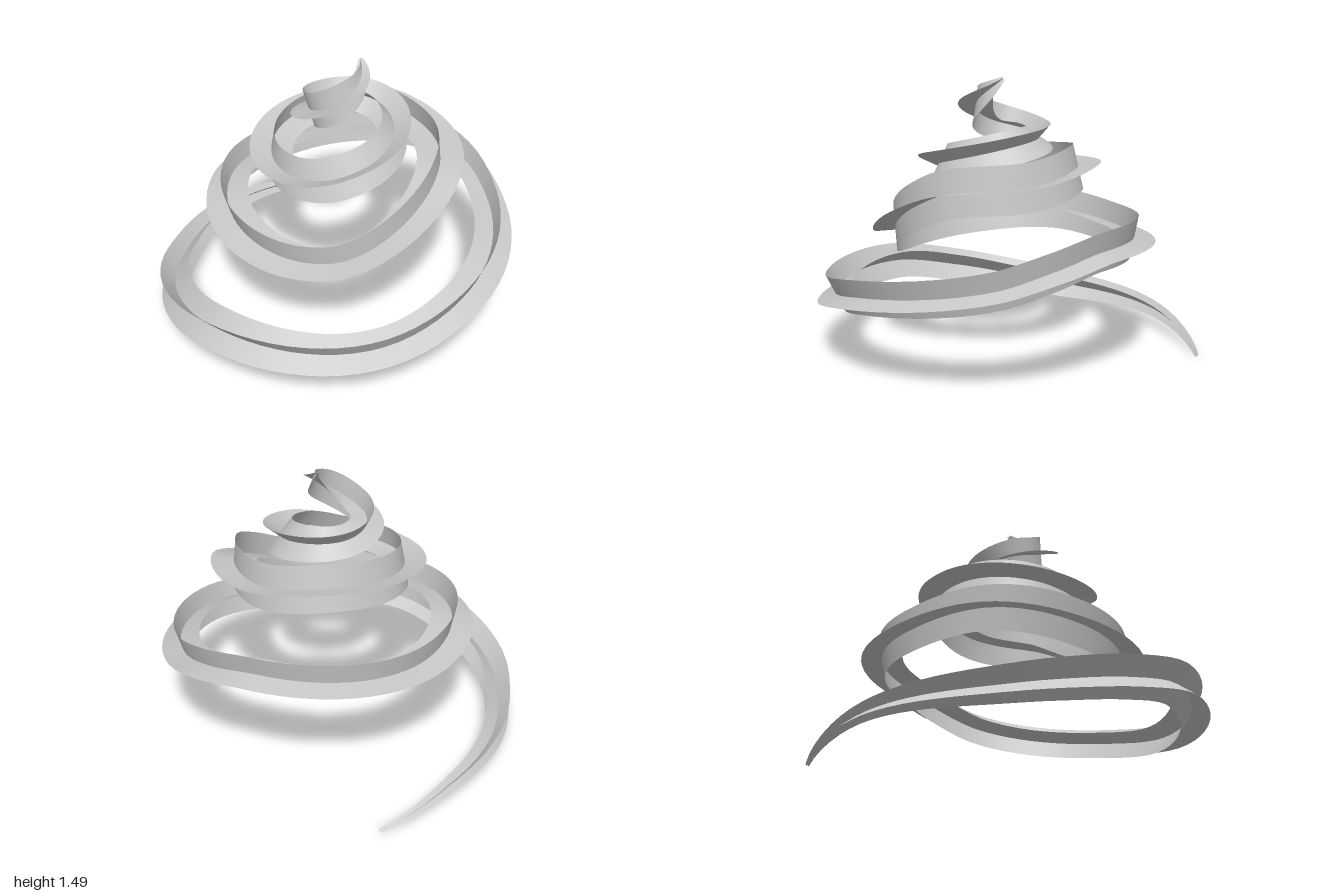
import * as THREE from 'three';

// Spiral path: angle (deg, 0 = back, 90 = model's right), radius, height
const PATH = [
  [-27, 1.06, 0.012], [0, 0.965, 0.10], [45, 0.905, 0.13], [68, 0.925, 0.165], [90, 0.93, 0.235],
  [115, 0.935, 0.315], [165, 0.905, 0.34], [200, 0.88, 0.44], [250, 0.84, 0.56], [270, 0.82, 0.64],
  [292, 0.78, 0.695], [360, 0.665, 0.65], [405, 0.625, 0.67], [450, 0.59, 0.64], [495, 0.58, 0.625],
  [520, 0.575, 0.665], [562, 0.565, 0.87], [585, 0.55, 0.96], [630, 0.495, 0.99], [675, 0.43, 1.035],
  [720, 0.375, 1.01], [810, 0.355, 0.955], [855, 0.345, 0.975], [900, 0.335, 1.05], [990, 0.26, 1.16],
  [1080, 0.175, 1.19], [1170, 0.155, 1.24], [1260, 0.135, 1.37], [1335, 0.11, 1.49],
];
// Cross section: angle, half width, outward roll (deg)
const SECTION = [
  [-27, 0.012, 45], [0, 0.04, 45], [45, 0.09, 45], [90, 0.115, 42], [180, 0.105, 25], [270, 0.11, 14],
  [360, 0.115, 9], [450, 0.12, 15], [540, 0.12, 2], [630, 0.125, -9], [720, 0.12, -15],
  [810, 0.115, -9], [900, 0.115, -28], [1080, 0.09, -56], [1170, 0.10, -80], [1260, 0.085, -100],
  [1335, 0.012, -110],
];
const CENTRE_X = 0.05;
const STEP = 5;

// Smooth interpolation of one column of a station table at a given angle
function sample(table, angle, column) {
  const last = table.length - 1;
  let i = 0;
  while (i < last - 1 && angle > table[i + 1][0]) i++;
  const slope = (k) => {
    const a = table[Math.max(k - 1, 0)], b = table[Math.min(k + 1, last)];
    return (b[column] - a[column]) / (b[0] - a[0]);
  };
  const p = table[i], q = table[i + 1], span = q[0] - p[0];
  const t = (angle - p[0]) / span, t2 = t * t, t3 = t2 * t;
  return (2 * t3 - 3 * t2 + 1) * p[column] + (t3 - 2 * t2 + t) * span * slope(i)
    + (3 * t2 - 2 * t3) * q[column] + (t3 - t2) * span * slope(i + 1);
}

function pathPoint(angle) {
  const a = THREE.MathUtils.degToRad(angle), r = sample(PATH, angle, 1);
  return new THREE.Vector3(CENTRE_X - r * Math.sin(a), sample(PATH, angle, 2), -r * Math.cos(a));
}

// Thin strip swept along the spiral, turned by `turn` degrees about the path
function ribbon(turn) {
  const positions = [], indices = [];
  const first = PATH[0][0], end = PATH[PATH.length - 1][0];
  const count = Math.ceil((end - first) / STEP);
  for (let i = 0; i <= count; i++) {
    const angle = first + (end - first) * i / count;
    const centre = pathPoint(angle), a = THREE.MathUtils.degToRad(angle);
    const tangent = pathPoint(angle + 0.5).sub(pathPoint(angle - 0.5)).normalize();
    const outward = new THREE.Vector3(-Math.sin(a), 0, -Math.cos(a));
    outward.addScaledVector(tangent, -outward.dot(tangent)).normalize();
    const up = new THREE.Vector3().crossVectors(outward, tangent).normalize();
    if (up.y < 0) up.negate();
    const roll = THREE.MathUtils.degToRad(sample(SECTION, angle, 2) + turn);
    const across = up.multiplyScalar(Math.cos(roll)).addScaledVector(outward, Math.sin(roll));
    const half = sample(SECTION, angle, 1);
    for (const s of [-1, 0, 1]) positions.push(...centre.clone().addScaledVector(across, s * half));
    if (i === count) continue;
    for (const k of [0, 1]) {
      const p = i * 3 + k;
      indices.push(p, p + 1, p + 3, p + 1, p + 4, p + 3);
    }
  }
  const geometry = new THREE.BufferGeometry();
  geometry.setAttribute('position', new THREE.Float32BufferAttribute(positions, 3));
  geometry.setIndex(indices);
  geometry.computeVertexNormals();
  return geometry;
}

export function createModel() {
  const group = new THREE.Group();
  group.name = 'spiralRibbon';
  const grey = new THREE.MeshStandardMaterial({ color: 0xc8c8c8, side: THREE.DoubleSide });
  grey.name = 'light grey';
  // Two strips crossing at right angles along the same spiral
  for (const [name, turn] of [['uprightStrip', 0], ['flatStrip', 90]]) {
    const mesh = new THREE.Mesh(ribbon(turn), grey);
    mesh.name = name;
    group.add(mesh);
  }
  return group;
}
